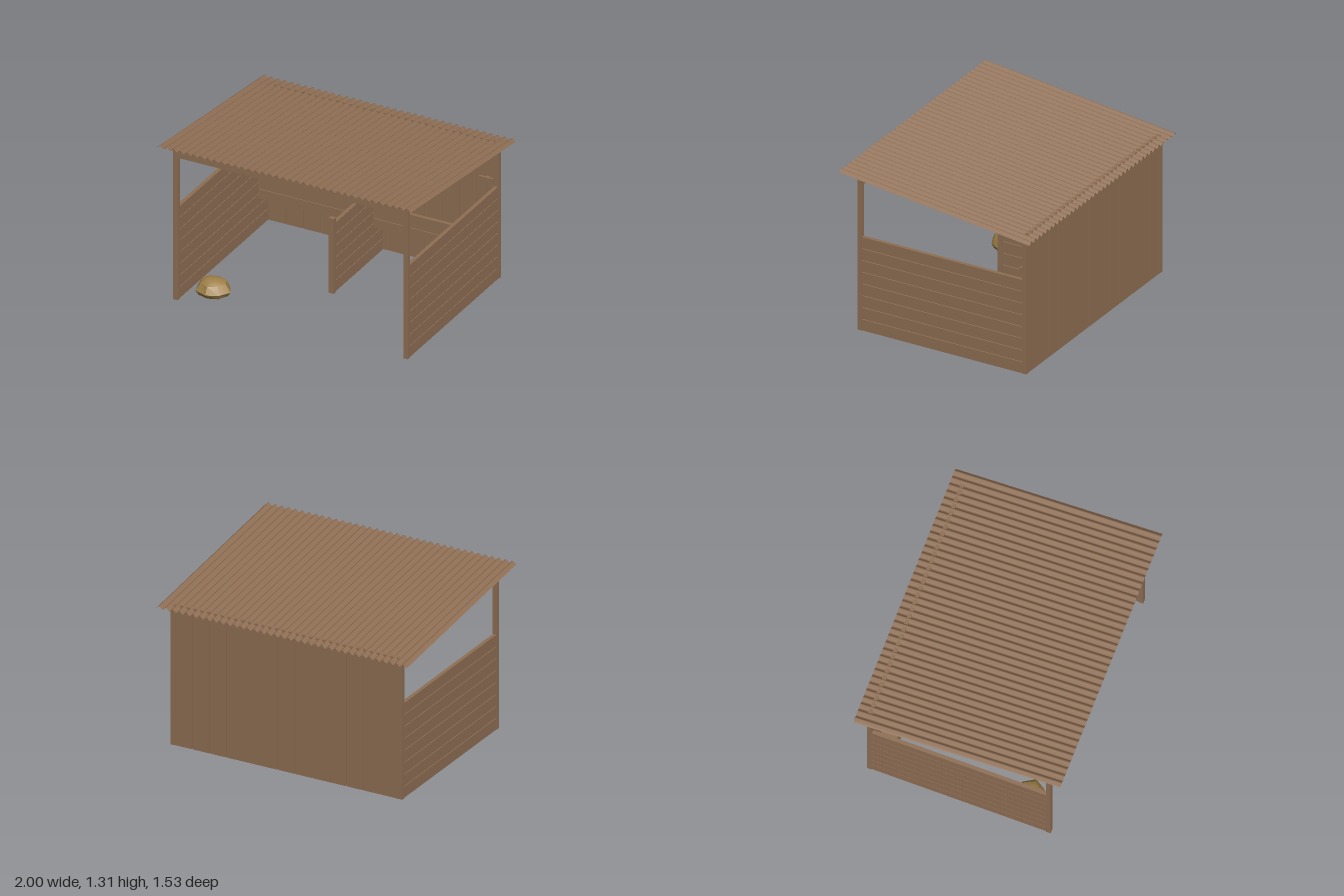
import * as THREE from 'three';
import { toCreasedNormals } from 'three/addons/utils/BufferGeometryUtils.js';

const wood = new THREE.MeshStandardMaterial({ color: 0x8f6f54 });
wood.name = 'wood';
const roofing = new THREE.MeshStandardMaterial({ color: 0x8f6f54, side: THREE.DoubleSide });
roofing.name = 'roofing';
const stone = new THREE.MeshStandardMaterial({ color: 0xa08149 });
stone.name = 'stone';

const BASE = 0.06;

// Box given by its lower and upper corners
function box(parent, name, [x0, y0, z0], [x1, y1, z1]) {
  const mesh = new THREE.Mesh(new THREE.BoxGeometry(x1 - x0, y1 - y0, z1 - z0), wood);
  mesh.position.set((x0 + x1) / 2, (y0 + y1) / 2, (z0 + z1) / 2);
  mesh.name = name;
  parent.add(mesh);
  return mesh;
}

// Wall of stacked horizontal planks running along z
function plankWall(name, x, thickness, z0, z1, count) {
  const wall = new THREE.Group();
  wall.name = name;
  const pitch = 0.0912, gap = 0.006;
  for (let i = 0; i < count; i++) {
    const y = BASE + i * pitch;
    box(wall, 'plank', [x - thickness / 2, y, z0], [x + thickness / 2, y + pitch - gap, z1]);
  }
  return wall;
}

// Corrugated sheet sloping down towards the back
function createRoof() {
  const waves = 37;
  const geometry = new THREE.PlaneGeometry(2, 1.535, waves * 6, 1);
  geometry.rotateX(-Math.PI / 2);
  const p = geometry.attributes.position;
  for (let i = 0; i < p.count; i++) {
    const x = p.getX(i), z = p.getZ(i);
    p.setY(i, 1.2085 + z * 0.114 + 0.011 * Math.cos(x * Math.PI * waves));
  }
  geometry.computeVertexNormals();
  const roof = new THREE.Mesh(geometry, roofing);
  roof.name = 'corrugatedRoof';
  return roof;
}

// Faceted boulder: a coarse lathe with a slightly uneven outline
function createBoulder() {
  const profile = [[0, 0], [0.105, 0.05], [0.128, 0.085], [0.095, 0.14], [0.05, 0.162], [0, 0.165]]
    .map(([r, y]) => new THREE.Vector2(r, y));
  const geometry = new THREE.LatheGeometry(profile, 8);
  const p = geometry.attributes.position;
  for (let i = 0; i < p.count; i++) {
    const x = p.getX(i), y = p.getY(i), z = p.getZ(i);
    const k = 1 + 0.06 * Math.sin(3 * Math.atan2(z, x) + y * 20);
    p.setXYZ(i, x * k, y, z * k * 0.94);
  }
  const boulder = new THREE.Mesh(toCreasedNormals(geometry, 0.6), stone);
  boulder.name = 'boulder';
  boulder.position.set(-0.73, 0, 0.435);
  return boulder;
}

// Wall bracket with two cords holding a ring
function createTether() {
  const tether = new THREE.Group();
  tether.name = 'tether';
  box(tether, 'bracket', [0.79, 0.825, -0.638], [0.895, 0.858, -0.622]);
  box(tether, 'bracketPeg', [0.83, 0.832, -0.665], [0.855, 0.85, -0.638]);
  for (const x of [0.834, 0.848]) {
    box(tether, 'cord', [x - 0.003, 0.67, -0.632], [x + 0.003, 0.825, -0.626]);
  }
  const ring = new THREE.Mesh(new THREE.TorusGeometry(0.022, 0.005, 6, 16), wood);
  ring.name = 'ring';
  ring.position.set(0.841, 0.65, -0.629);
  tether.add(ring);
  return tether;
}

export function createModel() {
  const model = new THREE.Group();
  model.name = 'stableShelter';

  // Corner posts and side walls, mirrored
  for (const side of [-1, 1]) {
    const x = side * 0.905;
    box(model, 'frontPost', [x - 0.018, BASE, 0.632], [x + 0.018, 1.24, 0.665]);
    box(model, 'backPost', [x - 0.018, BASE, -0.695], [x + 0.018, 1.128, -0.662]);
    model.add(plankWall('sideWall', x, 0.028, -0.662, 0.632, 8));
  }
  box(model, 'frontLintel', [-0.887, 1.183, 0.632], [0.887, 1.24, 0.665]);

  // Back wall of upright boards
  const backWall = new THREE.Group();
  backWall.name = 'backWall';
  const boards = 13, pitch = 1.774 / boards;
  for (let i = 0; i < boards; i++) {
    const x = -0.887 + i * pitch;
    box(backWall, 'board', [x + 0.003, BASE, -0.693], [x + pitch - 0.003, 1.135, -0.665]);
  }
  model.add(backWall);

  // Half-depth divider with its post
  model.add(plankWall('divider', 0, 0.028, -0.662, 0.035, 6));
  box(model, 'dividerPost', [-0.02, BASE, 0.035], [0.02, 0.648, 0.072]);

  // Feed trough along the back wall
  const trough = new THREE.Group();
  trough.name = 'feedTrough';
  box(trough, 'lowerFrontBoard', [-0.89, 0.3, -0.55], [0.89, 0.369, -0.522]);
  box(trough, 'upperFrontBoard', [-0.89, 0.374, -0.55], [0.89, 0.474, -0.522]);
  box(trough, 'troughFloor', [-0.89, 0.302, -0.664], [0.89, 0.325, -0.55]);
  model.add(trough);

  model.add(createTether(), createRoof(), createBoulder());
  return model;
}
